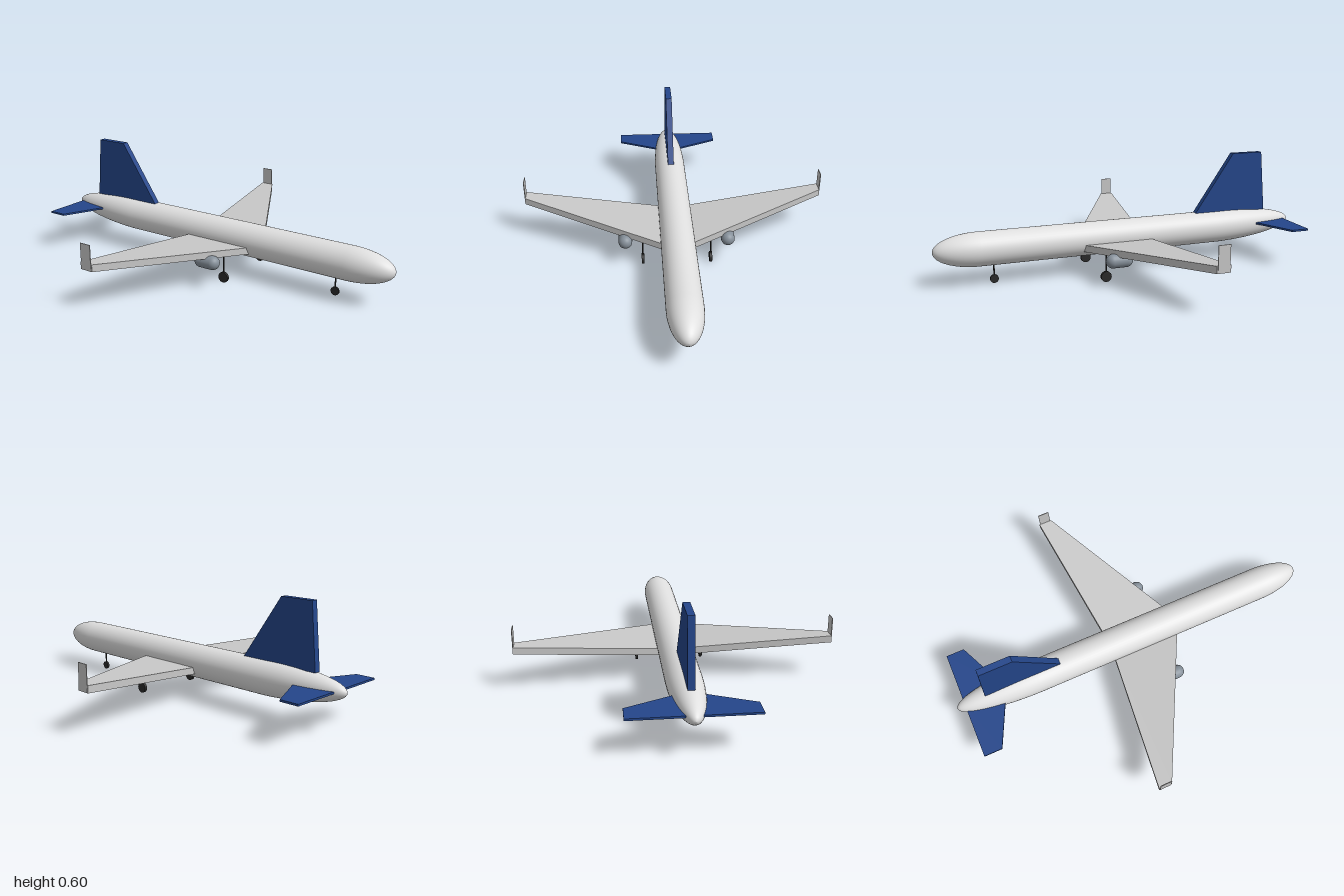
import * as THREE from 'three';

const mat = (name, color) => {
  const m = new THREE.MeshStandardMaterial({ color });
  m.name = name;
  return m;
};

export function createModel() {
  const white = mat('fuselage white', 0xe0e0e0);
  const grey = mat('wing grey', 0xc8c8c8);
  const blue = mat('tail blue', 0x24468a);
  const steel = mat('engine steel', 0x87919b);
  const dark = mat('gear black', 0x2a2a2a);

  const plane = new THREE.Group();
  plane.name = 'airliner';
  const add = (name, geometry, material, x = 0, y = 0, z = 0) => {
    const mesh = new THREE.Mesh(geometry, material);
    mesh.name = name;
    mesh.position.set(x, y, z);
    plane.add(mesh);
    return mesh;
  };
  const outline = (pts) => new THREE.Shape(pts.map(([x, y]) => new THREE.Vector2(x, y)));

  // Flat slab from an x/z outline; top at y = 0, rising outward by the slope
  const slab = (pts, side, thickness, slope = 0) => {
    const g = new THREE.ExtrudeGeometry(outline(pts.map(([x, z]) => [x, z * side])),
      { depth: thickness, bevelEnabled: false });
    g.rotateX(Math.PI / 2);
    const p = g.attributes.position;
    for (let i = 0; i < p.count; i++) p.setY(i, p.getY(i) + slope * Math.abs(p.getZ(i)));
    g.computeVertexNormals();
    return g;
  };

  // Fuselage: long elliptical tail, straight tube, short elliptical nose
  const R = 0.088, noseLen = 0.23, tailLen = 0.45;
  const profile = [];
  for (let i = 0; i <= 16; i++) {
    const a = (i / 16) * Math.PI / 2;
    profile.push(new THREE.Vector2(R * Math.sin(a), -1 + tailLen * (1 - Math.cos(a))));
  }
  for (let i = 0; i <= 14; i++) {
    const a = (i / 14) * Math.PI / 2;
    profile.push(new THREE.Vector2(R * Math.cos(a), 1 - noseLen + noseLen * Math.sin(a)));
  }
  const body = new THREE.LatheGeometry(profile, 40).rotateZ(-Math.PI / 2);
  // Tail axis lifts slightly towards the tip
  const bp = body.attributes.position;
  for (let i = 0; i < bp.count; i++) {
    const t = Math.max(0, (-0.45 - bp.getX(i)) / 0.55);
    bp.setY(i, bp.getY(i) + 0.015 * t);
  }
  add('fuselage', body, white, 0, 0.186, 0);

  // Fin
  const fin = new THREE.ExtrudeGeometry(
    outline([[-0.84, 0.267], [-0.41, 0.267], [-0.635, 0.595], [-0.81, 0.595]]),
    { depth: 0.034, bevelEnabled: false });
  add('fin', fin, blue, 0, 0, -0.017);

  const wheel = (name, x, z, radius, width, top) => {
    add(name + 'Wheel', new THREE.CylinderGeometry(radius, radius, width, 20).rotateX(Math.PI / 2),
      dark, x, radius, z);
    add(name + 'Strut', new THREE.CylinderGeometry(0.004, 0.004, top - radius, 8),
      dark, x, (top + radius) / 2, z);
  };

  for (const side of [1, -1]) {
    const label = side > 0 ? 'front' : 'rear';
    // Wing with dihedral and upright tip plate
    add(label + 'Wing', slab([[-0.126, 0.04], [0.261, 0.04], [-0.14, 0.815], [-0.21, 0.815]],
      side, 0.036, 0.09), grey, 0, 0.167, 0);
    add(label + 'Winglet', new THREE.BoxGeometry(0.06, 0.13, 0.004), grey, -0.175, 0.27, side * 0.815);
    // Engine pod
    add(label + 'Engine', new THREE.CapsuleGeometry(0.036, 0.068, 10, 24).rotateZ(Math.PI / 2),
      steel, 0.12, 0.135, side * 0.27);
    // Tailplane
    add(label + 'Tailplane', slab([[-0.957, 0], [-0.725, 0], [-0.86, 0.295], [-0.957, 0.295]],
      side, 0.01), blue, 0, 0.208, 0);
    wheel(label + 'Main', 0.16, side * 0.18, 0.028, 0.014, 0.16);
  }
  wheel('nose', 0.7, 0, 0.022, 0.01, 0.12);

  return plane;
}
